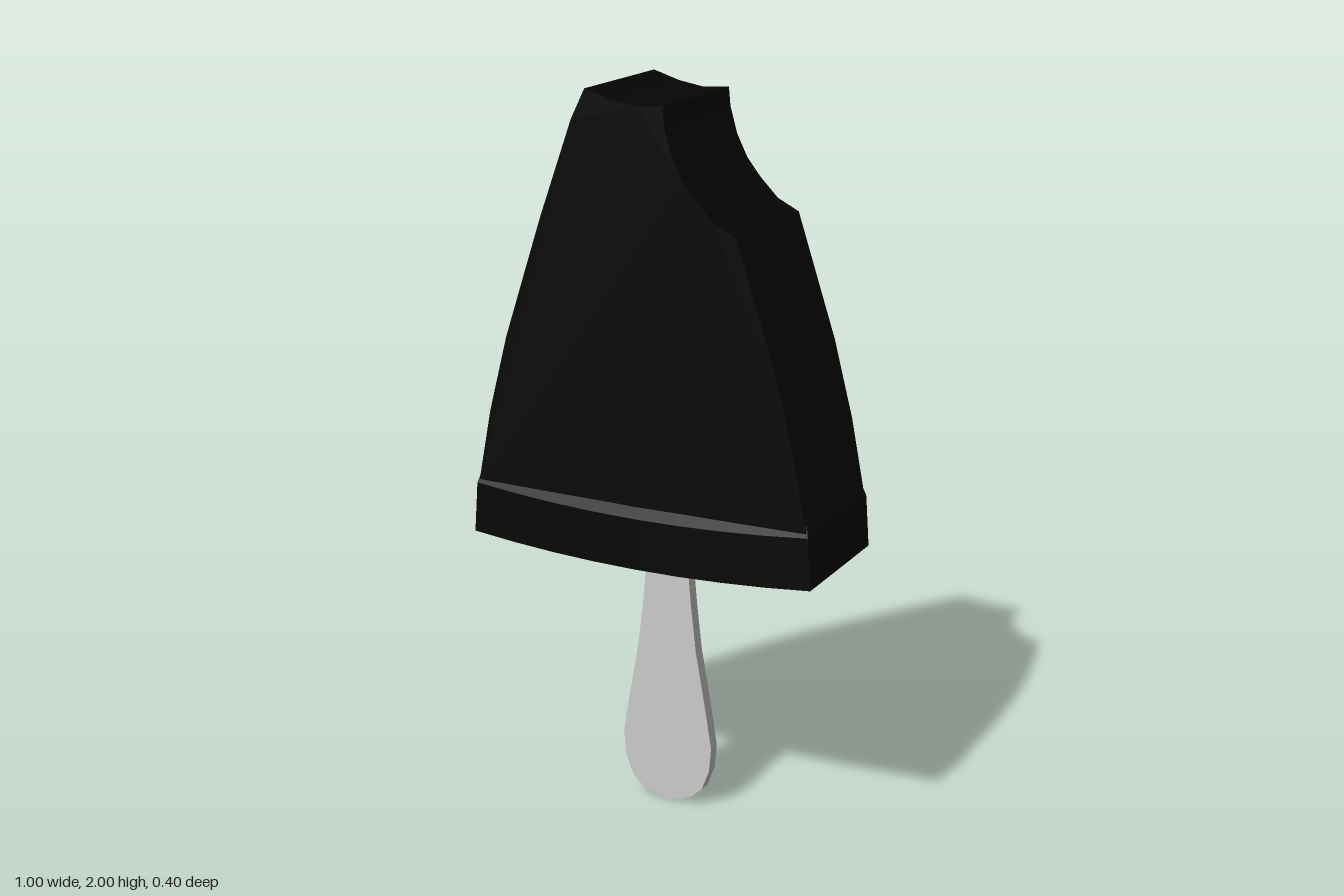
import * as THREE from 'three';

// Extrudes an outline of [x, y] points, centred on z = 0
function slab(name, points, depth, material) {
  const shape = new THREE.Shape(points.map(([x, y]) => new THREE.Vector2(x, y)));
  const geometry = new THREE.ExtrudeGeometry(shape, { depth, bevelEnabled: false });
  geometry.translate(0, 0, -depth / 2);
  const mesh = new THREE.Mesh(geometry, material);
  mesh.name = name;
  return mesh;
}

const mirrorX = (points) => points.map(([x, y]) => [-x, y]).reverse();

export function createModel() {
  const group = new THREE.Group();
  group.name = 'bittenIceLolly';
  const coating = new THREE.MeshStandardMaterial({ color: 0x050505, flatShading: true });
  const wood = new THREE.MeshStandardMaterial({ color: 0xcccccc, flatShading: true });

  // Tapering block with a bite out of the upper left corner
  const side = [[0.488, 0.9], [0.445, 1.12], [0.39, 1.33], [0.28, 1.66]];
  const bite = [[0.22, 1.69], [0.17, 1.74], [0.13, 1.79], [0.1, 1.85], [0.08, 1.92], [0.075, 1.97]];
  const top = [[0, 1.965], [-0.07, 1.977], [-0.145, 2], [-0.185, 1.92]];
  group.add(slab('iceBlock', [[0, 0.8], [0.488, 0.82], ...side, ...bite, ...top, ...mirrorX(side), [-0.488, 0.82]], 0.375, coating));

  // Thicker band round the bottom: rows of [height, half width, half depth], sagging to the middle
  const rows = [[0, 0.5, 0.2], [0.14, 0.49, 0.199], [0.17, 0.482, 0.188]];
  const band = new THREE.BoxGeometry(2, 2, 2, 8, 2, 1);
  const p = band.attributes.position;
  for (let i = 0; i < p.count; i++) {
    const u = p.getX(i);
    const [h, w, d] = rows[Math.round(p.getY(i)) + 1];
    p.setXYZ(i, u * w, 0.745 + 0.025 * u * u + h, p.getZ(i) * (d - 0.008 * u * u));
  }
  band.computeVertexNormals();
  const bandMesh = new THREE.Mesh(band, coating);
  bandMesh.name = 'bottomBand';
  group.add(bandMesh);

  // Flat paddle-shaped stick
  const edge = [[0.04, 0.015], [0.075, 0.022], [0.108, 0.052], [0.13, 0.11], [0.136, 0.18], [0.12, 0.28],
    [0.104, 0.37], [0.088, 0.46], [0.074, 0.58], [0.063, 0.7], [0.058, 0.8]];
  edge[0] = [0.04, 0.008];
  group.add(slab('stick', [[0, 0], ...edge, ...mirrorX(edge)], 0.036, wood));

  return group;
}
